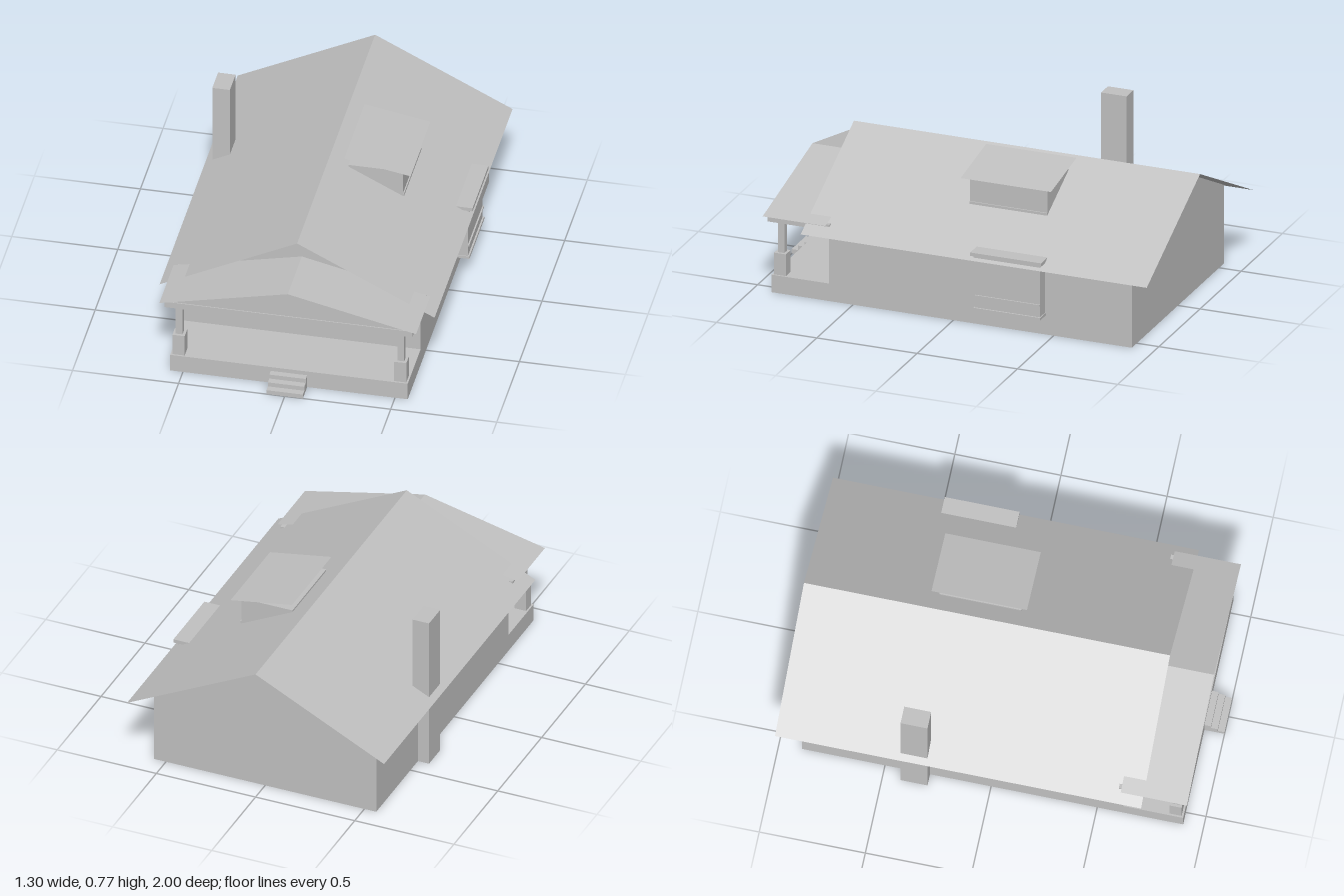
import * as THREE from 'three';

export function createModel() {
  const house = new THREE.Group();
  house.name = 'house';
  const grey = new THREE.MeshStandardMaterial({ color: 0xc0c0c0, side: THREE.DoubleSide });
  grey.name = 'plain grey';

  function add(name, geometry) {
    const mesh = new THREE.Mesh(geometry, grey);
    mesh.name = name;
    house.add(mesh);
    return mesh;
  }

  // Box given by its limits; open boxes have no underside
  function box(name, [x0, x1], [y0, y1], [z0, z1], open = false) {
    const g = new THREE.BoxGeometry(x1 - x0, y1 - y0, z1 - z0);
    if (open) {
      const index = Array.from(g.index.array);
      index.splice(18, 6);
      g.setIndex(index);
      g.clearGroups();
    }
    g.translate((x0 + x1) / 2, (y0 + y1) / 2, (z0 + z1) / 2);
    return add(name, g);
  }

  // Thin sheet: an x/y profile swept from z0 (back) to z1 (front)
  function sheet(name, profile, z0, z1) {
    const pos = [];
    for (let i = 0; i < profile.length - 1; i++) {
      const [ax, ay] = profile[i];
      const [bx, by] = profile[i + 1];
      pos.push(ax, ay, z1, bx, by, z1, bx, by, z0);
      pos.push(ax, ay, z1, bx, by, z0, ax, ay, z0);
    }
    const g = new THREE.BufferGeometry();
    g.setAttribute('position', new THREE.Float32BufferAttribute(pos, 3));
    g.computeVertexNormals();
    return add(name, g);
  }

  // Flat upright wall from an outline
  function wall(name, outline, z) {
    const shape = new THREE.Shape(outline.map(([x, y]) => new THREE.Vector2(x, y)));
    const mesh = add(name, new THREE.ShapeGeometry(shape));
    mesh.position.z = z;
    return mesh;
  }

  // Main body, open underneath
  const gable = [[-0.56, 0], [0.56, 0], [0.56, 0.39], [0, 0.67], [-0.56, 0.39]];
  wall('frontWall', gable, 0.62);
  wall('backWall', gable, -0.89).rotation.y = Math.PI;
  sheet('leftWall', [[0.56, 0.39], [0.56, 0]], -0.89, 0.62);
  sheet('rightWall', [[-0.56, 0], [-0.56, 0.39]], -0.89, 0.62);
  sheet('mainRoof', [[-0.648, 0.348], [0, 0.671], [0.648, 0.348]], -1, 0.725);

  // Porch
  box('porchDeck', [-0.56, 0.56], [0, 0.087], [0.612, 0.905], true);
  box('porchBeam', [-0.585, 0.585], [0.36, 0.39], [0.607, 0.917]);
  wall('porchGable', [[-0.585, 0.39], [0.585, 0.39], [0, 0.522]], 0.912);
  sheet('porchRoof', [[-0.605, 0.39], [0, 0.527], [0.605, 0.39]], 0.62, 0.932);
  for (const s of [-1, 1]) {
    const x = s * 0.5225;
    box('postBase', [x - 0.029, x + 0.029], [0.087, 0.195], [0.838, 0.896]);
    box('post', [x - 0.016, x + 0.016], [0.195, 0.36], [0.851, 0.883]);
  }

  // Front steps
  for (let i = 0; i < 3; i++) {
    box('step', [-0.086, 0.086], [0, 0.022 * (i + 1)], [0.905, 1 - 0.032 * i], true);
  }

  // Chimney on the right wall
  box('chimney', [-0.616, -0.533], [0, 0.767], [-0.415, -0.288], true);

  // Dormer with a sloping sheet roof
  box('dormer', [0.088, 0.345], [0.498, 0.636], [-0.38, 0.005]);
  box('dormerSill', [0.34, 0.351], [0.5, 0.512], [-0.38, 0.005]);
  sheet('dormerRoof', [[0.075, 0.69], [0.385, 0.636]], -0.415, 0.035);

  // Bay window on the left wall
  box('bay', [0.55, 0.622], [0.1, 0.37], [-0.457, -0.133]);
  box('baySill', [0.55, 0.63], [0.095, 0.108], [-0.461, -0.129]);
  box('bayRail', [0.615, 0.629], [0.163, 0.171], [-0.457, -0.133]);
  box('bayTrim', [0.55, 0.629], [0.355, 0.37], [-0.461, -0.129]);
  box('bayRoof', [0.567, 0.647], [0.371, 0.388], [-0.473, -0.12]);

  return house;
}
